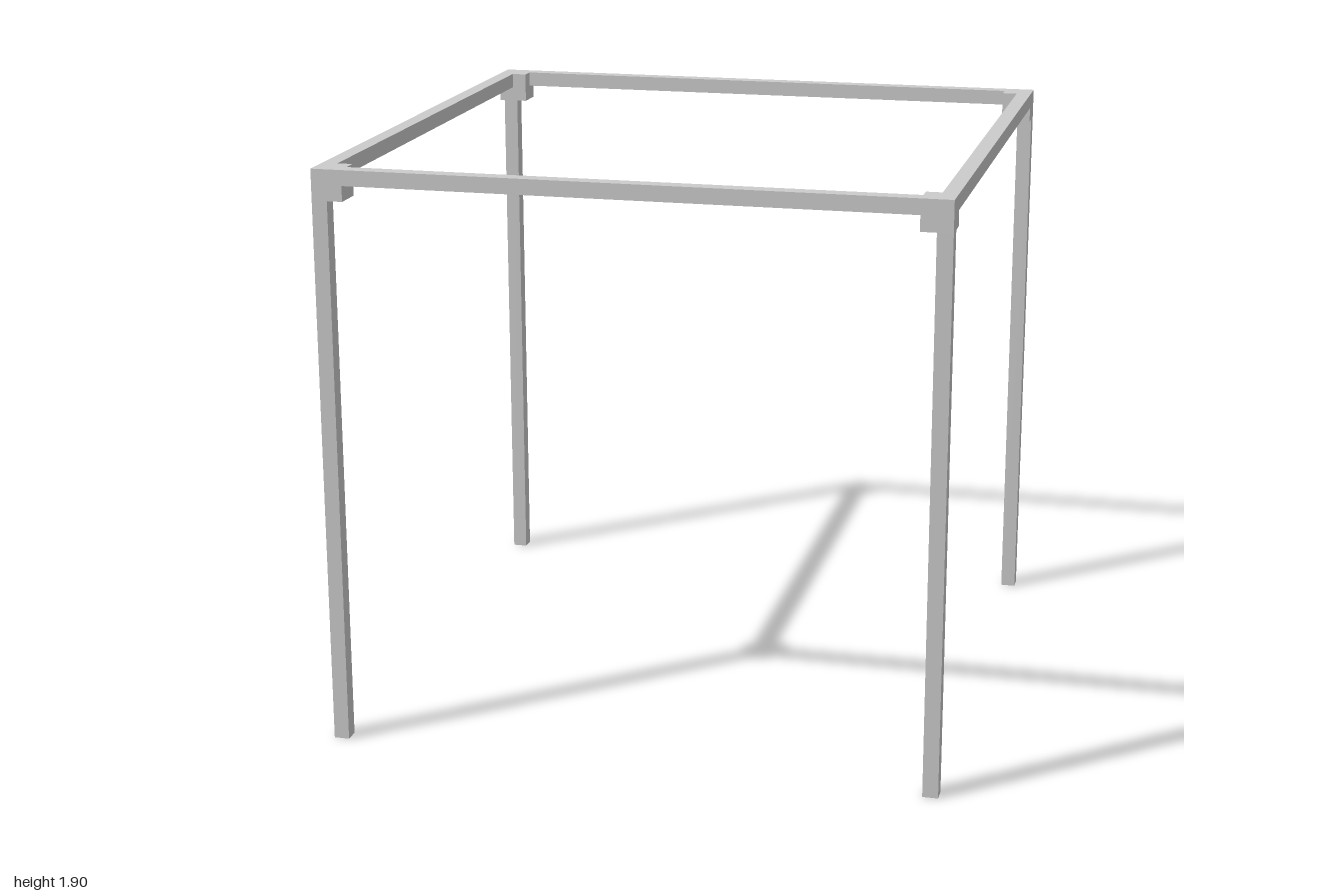
import * as THREE from 'three';

const HALF = 1;        // half the outer width
const HEIGHT = 1.9;    // overall height
const BAR = 0.05;      // thickness of legs and rails
const JOINT = 0.1;     // size of the corner blocks

export function createModel() {
  const group = new THREE.Group();
  const material = new THREE.MeshStandardMaterial({ color: 0xcccccc, flatShading: true });

  const addBox = (name, size, position) => {
    const mesh = new THREE.Mesh(new THREE.BoxGeometry(...size), material);
    mesh.name = name;
    mesh.position.set(...position);
    group.add(mesh);
  };

  const barCentre = HALF - BAR / 2;
  const jointCentre = HALF - JOINT / 2;
  const legLength = HEIGHT - JOINT;
  const railLength = 2 * (HALF - JOINT);
  const railY = HEIGHT - BAR / 2;

  for (const sx of [-1, 1]) {
    const side = sx > 0 ? 'Left' : 'Right';

    // Legs, each topped by a corner block flush with the outer faces
    for (const sz of [-1, 1]) {
      const corner = (sz > 0 ? 'front' : 'back') + side;
      addBox(corner + 'Leg', [BAR, legLength, BAR], [sx * barCentre, legLength / 2, sz * barCentre]);
      addBox(corner + 'CornerBlock', [JOINT, JOINT, JOINT],
        [sx * jointCentre, HEIGHT - JOINT / 2, sz * jointCentre]);
    }

    // Side rails run front to back between the corner blocks
    addBox(side.toLowerCase() + 'Rail', [BAR, BAR, railLength], [sx * barCentre, railY, 0]);
  }

  // Front and back rails
  for (const sz of [-1, 1]) {
    addBox(sz > 0 ? 'frontRail' : 'backRail', [railLength, BAR, BAR], [0, railY, sz * barCentre]);
  }

  return group;
}
